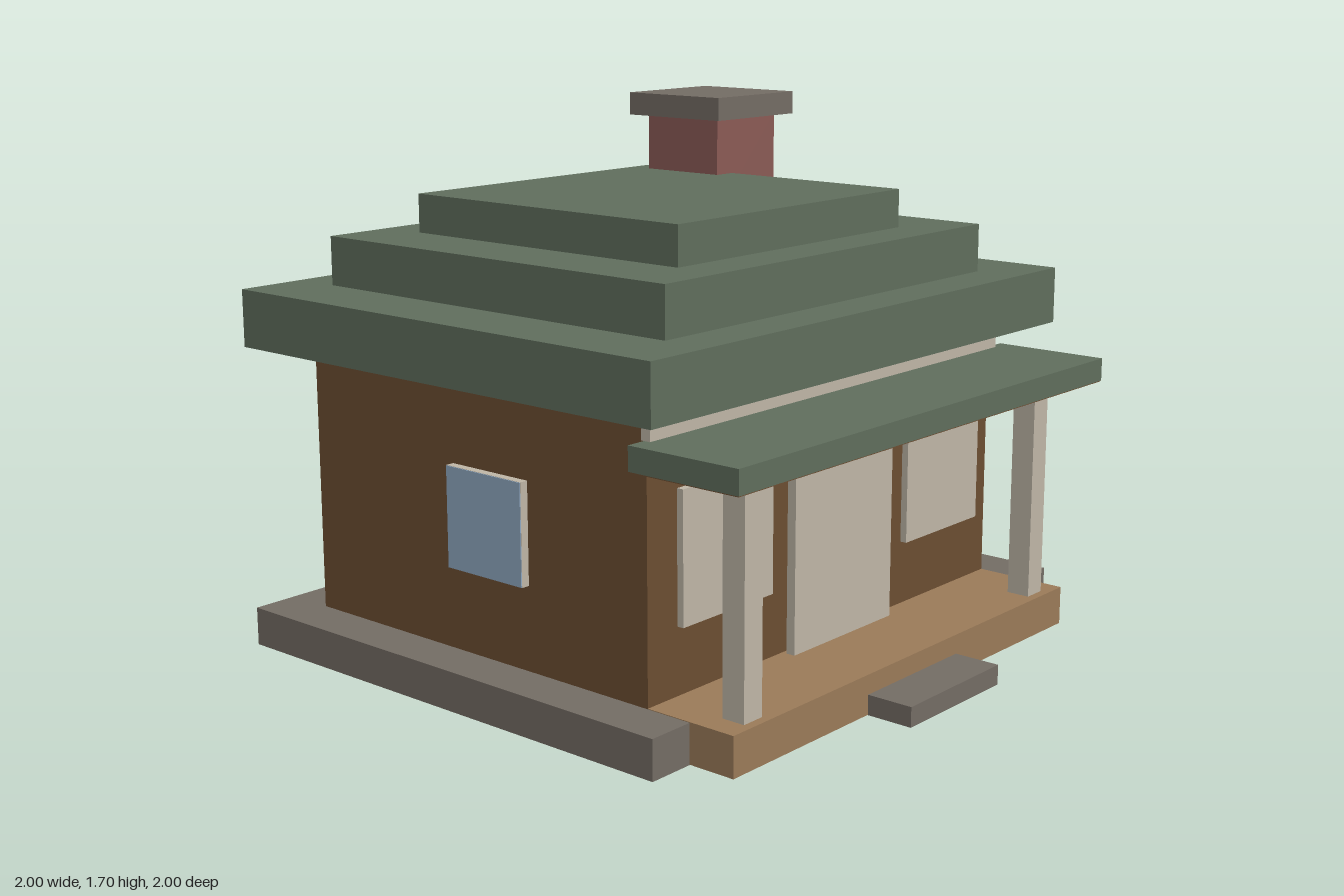
import * as THREE from 'three';

export function createModel() {
  const house = new THREE.Group();
  house.name = 'house';

  const mat = (name, color) => {
    const m = new THREE.MeshStandardMaterial({ color });
    m.name = name;
    return m;
  };
  const stone = mat('stone', 0x736c64);
  const timber = mat('wallTimber', 0x6b4d31);
  const planks = mat('deckPlanks', 0x9a7a58);
  const trim = mat('trim', 0xbeb5a6);
  const shingle = mat('roofShingle', 0x5f6d5c);
  const brick = mat('brick', 0x8a5a55);
  const glass = mat('glass', 0x8ea7c0);

  // Box given by its extents along each axis
  const box = (name, material, [x0, x1], [y0, y1], [z0, z1], parent = house) => {
    const mesh = new THREE.Mesh(new THREE.BoxGeometry(x1 - x0, y1 - y0, z1 - z0), material);
    mesh.position.set((x0 + x1) / 2, (y0 + y1) / 2, (z0 + z1) / 2);
    mesh.name = name;
    parent.add(mesh);
    return mesh;
  };
  const sym = (h) => [-h, h];

  // Base, deck and step
  box('foundation', stone, sym(1), [0, 0.123], [-1, 0.693]);
  box('porchDeck', planks, sym(0.847), [0.001, 0.125], [0.54, 0.848]);
  box('frontStep', stone, sym(0.23), [0, 0.063], [0.8, 1]);

  // Walls and the band under the eaves
  box('walls', timber, sym(0.847), [0.123, 0.98], [-0.845, 0.54]);
  box('frontBand', trim, sym(0.858), [0.893, 0.954], [0.53, 0.562]);

  // Stepped roof
  box('roofLower', shingle, sym(1), [0.973, 1.155], [-1, 0.693]);
  box('roofMiddle', shingle, sym(0.77), [1.15, 1.31], [-0.845, 0.54]);
  box('roofUpper', shingle, sym(0.538), [1.3, 1.433], [-0.693, 0.385]);

  // Porch roof with a timber ceiling
  box('porchRoof', shingle, sym(0.922), [0.82, 0.893], [0.54, 0.924]);
  box('porchCeiling', timber, sym(0.92), [0.817, 0.821], [0.54, 0.922]);

  // Chimney
  box('chimneyStack', brick, [0.46, 0.766], [1.3, 1.625], [-0.615, -0.307]);
  box('chimneyCap', stone, [0.413, 0.814], [1.62, 1.696], [-0.66, -0.263]);

  // Door: panel on the wall with a larger leaf in front
  const door = new THREE.Group();
  door.name = 'door';
  house.add(door);
  box('doorPanel', trim, sym(0.2), [0.123, 0.71], [0.535, 0.56], door);
  box('doorLeaf', trim, sym(0.244), [0.123, 0.77], [0.556, 0.586], door);

  // Mirrored pairs
  for (const s of [-1, 1]) {
    const side = s > 0 ? 'left' : 'right';
    const span = (a, b) => (s > 0 ? [a, b] : [-b, -a]);

    box(side + 'PorchPost', trim, span(0.69, 0.768), [0.123, 0.82], [0.743, 0.82]);

    // Shuttered front window
    const front = new THREE.Group();
    front.name = side + 'FrontWindow';
    house.add(front);
    box('windowBacking', trim, span(0.385, 0.69), [0.385, 0.705], [0.535, 0.56], front);
    box('windowShutter', trim, span(0.34, 0.74), [0.34, 0.74], [0.556, 0.578], front);

    // Side window with glass over its frame
    const sideWindow = new THREE.Group();
    sideWindow.name = side + 'SideWindow';
    house.add(sideWindow);
    box('windowFrame', trim, span(0.84, 0.874), [0.385, 0.7], [-0.228, 0.08], sideWindow);
    box('windowGlass', glass, span(0.873, 0.877), [0.386, 0.699], [-0.227, 0.079], sideWindow);
  }

  return house;
}
